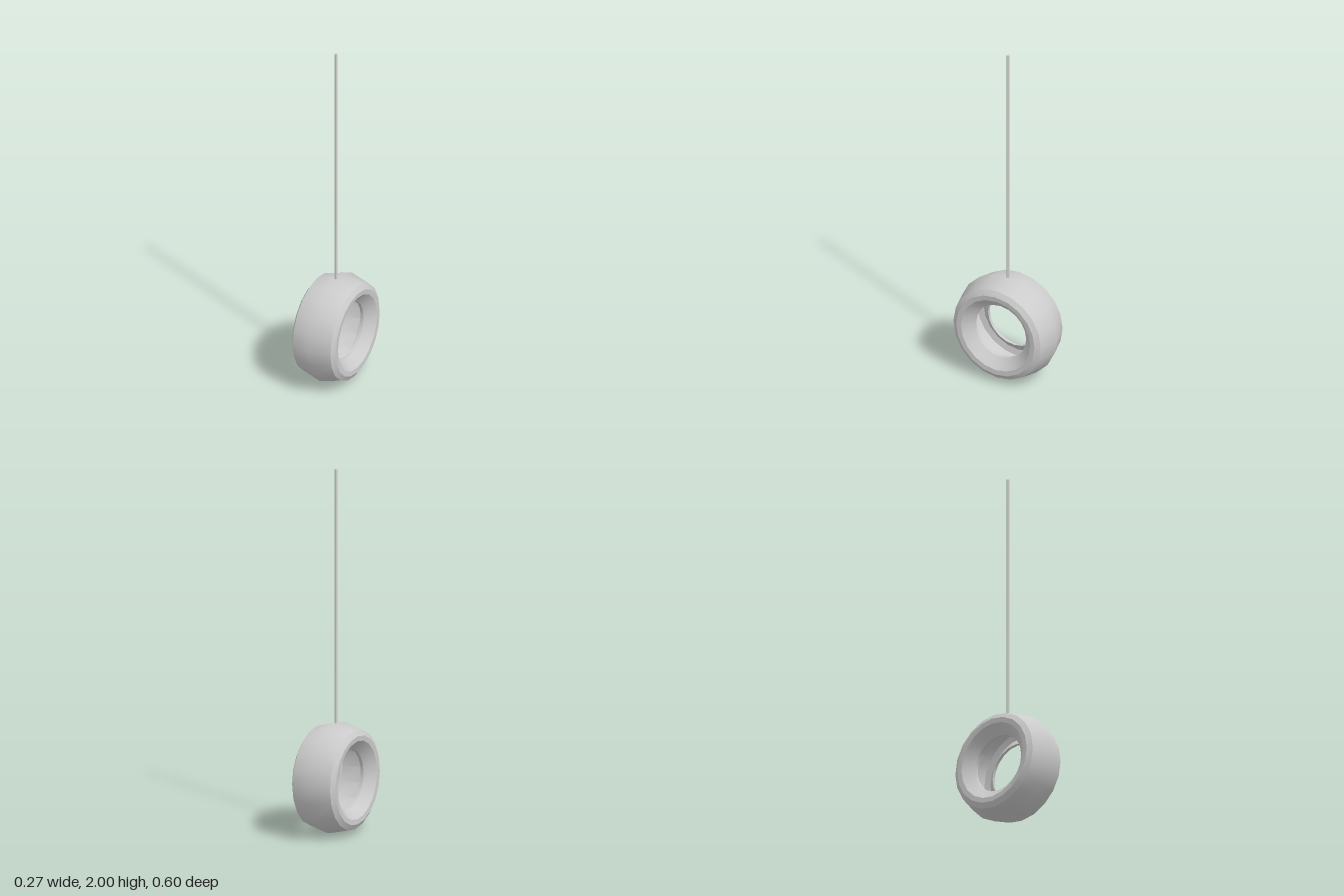
import * as THREE from 'three';
import { toCreasedNormals } from 'three/addons/utils/BufferGeometryUtils.js';

const TYRE_Y = 0.302;

export function createModel() {
  const model = new THREE.Group();
  model.name = 'tyreSwing';
  const material = new THREE.MeshStandardMaterial({ color: 0xcccccc });

  // Half cross-section of the tyre: [radius, distance from the middle plane]
  const outside = [[0.16, 0.08], [0.215, 0.131], [0.243, 0.133], [0.271, 0.115]];
  const inside = [[0.25, 0.1], [0.215, 0.108], [0.16, 0.062]];

  // Closed profile: up over the tread, then back down through the hollow
  const profile = [
    ...outside.map(([r, w]) => [r, -w]),
    [0.302, 0],
    ...outside.slice().reverse(),
    ...inside.slice().reverse(),
    [0.28, 0],
    ...inside.map(([r, w]) => [r, -w]),
    [0.16, -0.08],
  ].map(([r, w]) => new THREE.Vector2(r, w));

  const tyreGeometry = toCreasedNormals(new THREE.LatheGeometry(profile, 20), THREE.MathUtils.degToRad(36));
  tyreGeometry.rotateZ(Math.PI / 2);
  const tyre = new THREE.Mesh(tyreGeometry, material);
  tyre.name = 'tyre';
  tyre.position.y = TYRE_Y;
  model.add(tyre);

  // Six-sided rope rising from the top of the tread
  const ropeBottom = 0.595;
  const ropeGeometry = toCreasedNormals(
    new THREE.CylinderGeometry(0.0085, 0.0085, 2 - ropeBottom, 6), THREE.MathUtils.degToRad(65));
  ropeGeometry.rotateY(Math.PI / 2);
  const rope = new THREE.Mesh(ropeGeometry, material);
  rope.name = 'rope';
  rope.position.y = (2 + ropeBottom) / 2;
  model.add(rope);

  return model;
}
